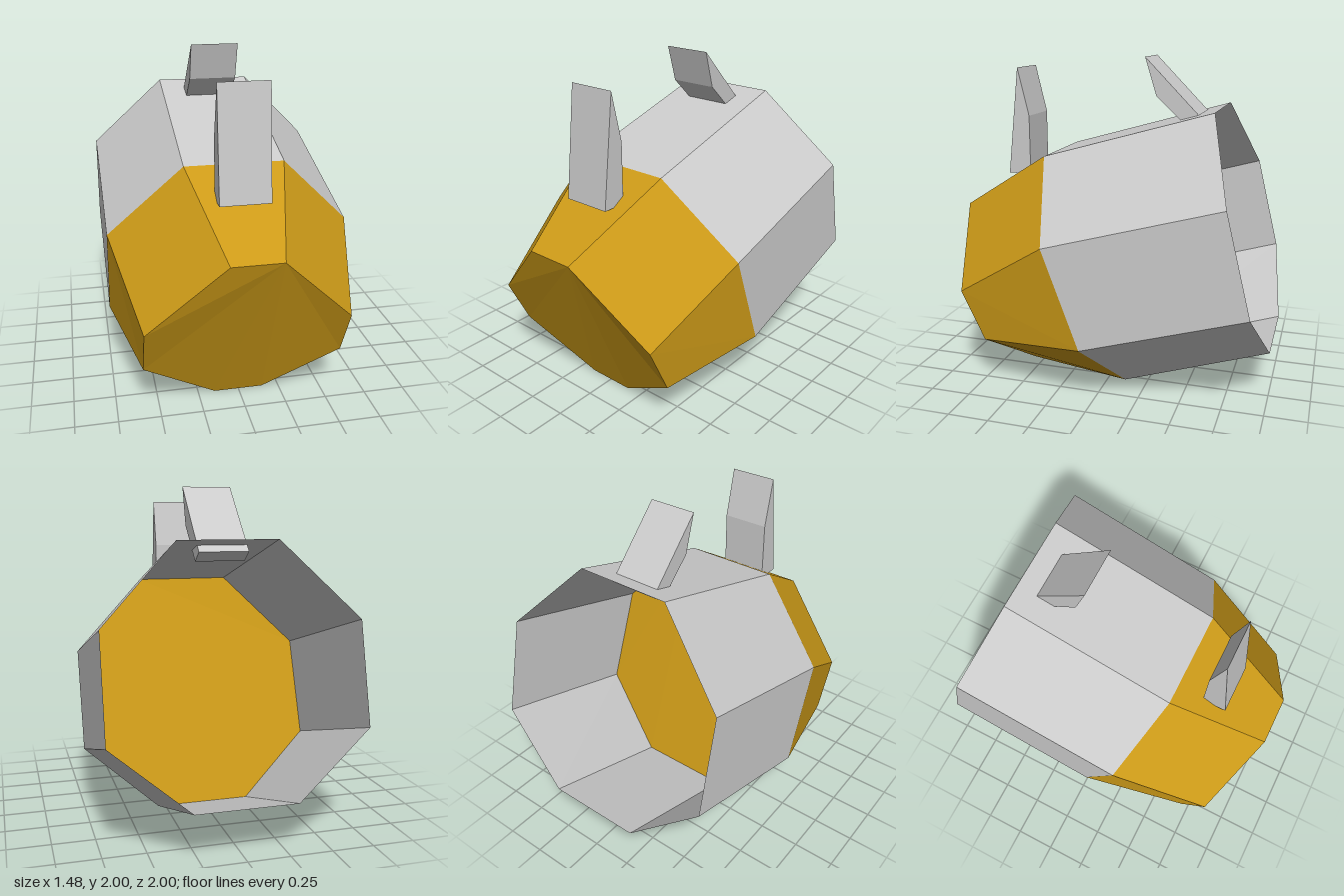
import * as THREE from 'three';

const grey = new THREE.MeshStandardMaterial({ color: 0xcccccc, flatShading: true, side: THREE.DoubleSide });
const gold = new THREE.MeshStandardMaterial({ color: 0xcc9a18, flatShading: true, side: THREE.DoubleSide });

// Eight-sided ring from its +x half (top to bottom), mirrored to -x
function ring(half) {
  return [...half, ...half.map(([x, y, z]) => [-x, y, z]).reverse()];
}

// Triangles of a wall joining a front ring to the ring behind it
function wall(a, b) {
  return a.flatMap((p, i) => {
    const j = (i + 1) % a.length;
    return [p, a[j], b[j], p, b[j], b[i]];
  });
}

// Triangles closing a ring, facing the front or the back
function cap(r, facesFront) {
  const out = [];
  for (let i = 1; i < r.length - 1; i++) {
    out.push(r[0], ...(facesFront ? [r[i + 1], r[i]] : [r[i], r[i + 1]]));
  }
  return out;
}

function facetedMesh(name, points, material) {
  const geometry = new THREE.BufferGeometry();
  geometry.setAttribute('position', new THREE.Float32BufferAttribute(points.flat(), 3));
  geometry.computeVertexNormals();
  const mesh = new THREE.Mesh(geometry, material);
  mesh.name = name;
  return mesh;
}

// Folded fin: a (z, y) side profile extruded across x
function fin(name, profile) {
  const width = 0.294;
  const shape = new THREE.Shape(profile.map(([z, y]) => new THREE.Vector2(z, y)));
  const geometry = new THREE.ExtrudeGeometry(shape, { depth: width, bevelEnabled: false });
  geometry.translate(0, 0, -width / 2).rotateY(-Math.PI / 2);
  const mesh = new THREE.Mesh(geometry, grey);
  mesh.name = name;
  return mesh;
}

export function createModel() {
  const model = new THREE.Group();
  model.name = 'tiltedBarrel';

  const nose = ring([[0.148, 1.04, 1], [0.593, 0.6, 0.85], [0.593, 0.3, 0.705], [0.148, 0, 0.56]]);
  const seam = ring([[0.295, 1.408, 0.405], [0.74, 0.965, 0.26], [0.74, 0.373, 0.04], [0.295, 0, -0.11]]);
  const rim = ring([[0.295, 1.705, -0.63], [0.74, 1.26, -0.78], [0.74, 0.67, -0.925], [0.295, 0.3, -1]]);

  // Tapered solid nose, its rear face closing the bottom of the open shell
  model.add(facetedMesh('nose', [...cap(nose, true), ...wall(nose, seam), ...cap(seam, false)], gold));

  // Thin shell, open at the back
  model.add(facetedMesh('shell', wall(seam, rim), grey));

  // Sights on top: upright at the front, leaning forward at the back
  model.add(fin('frontFin', [[0.705, 1.263], [0.63, 1.925], [0.56, 1.63], [0.56, 1.263]]));
  model.add(fin('rearFin', [[-0.185, 2], [-0.545, 1.635], [-0.467, 1.578], [-0.255, 1.775]]));

  return model;
}
